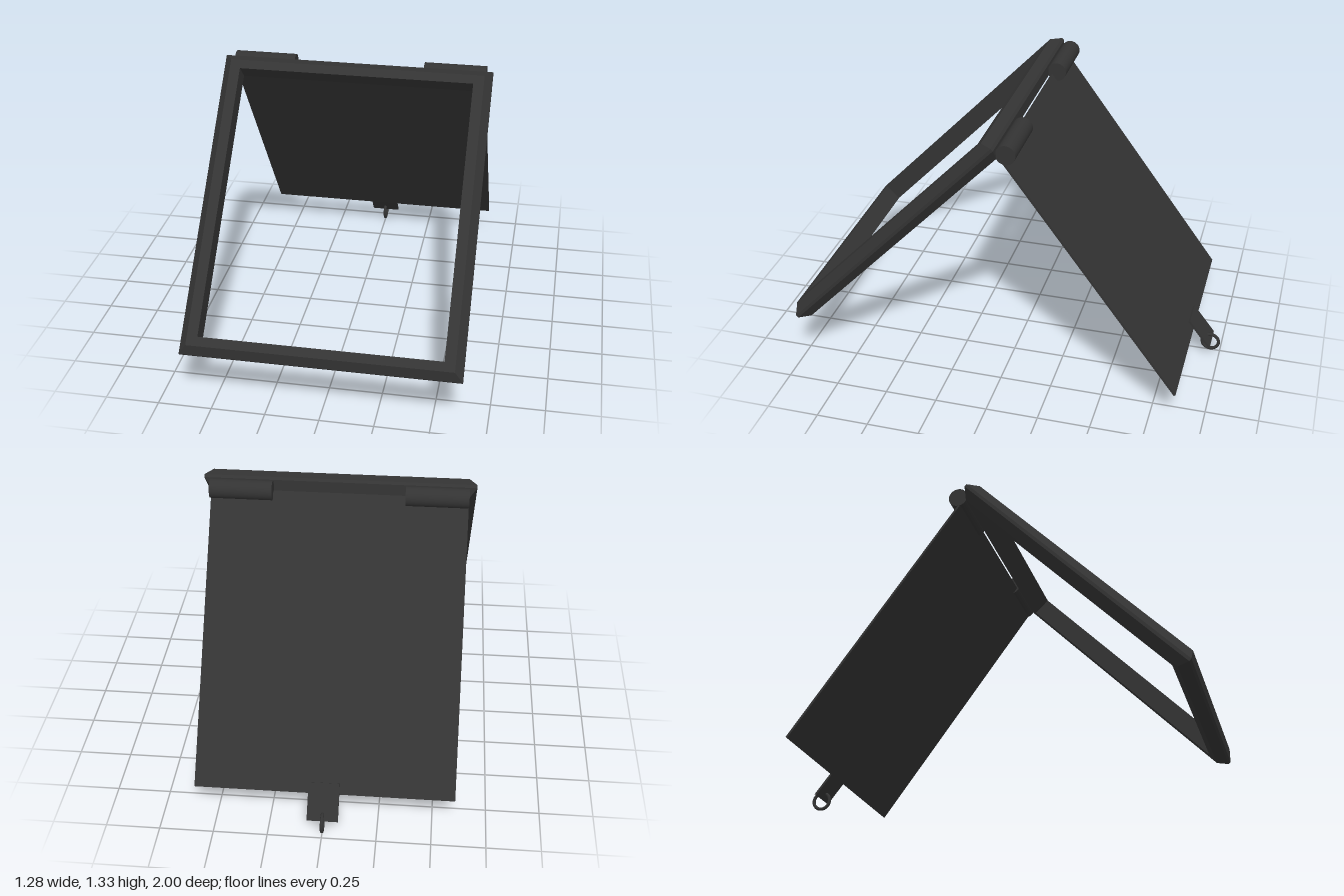
import * as THREE from 'three';

const material = new THREE.MeshStandardMaterial({ color: 0x333333 });

function addMesh(parent, name, geometry) {
  const mesh = new THREE.Mesh(geometry, material);
  mesh.name = name;
  parent.add(mesh);
  return mesh;
}

// Rectangular ring swept from a section of [half width, half height, depth]
function ringGeometry(section) {
  const corners = [[1, 1], [-1, 1], [-1, -1], [1, -1]];
  const point = (j, i) => {
    const [w, h, z] = section[j % section.length];
    const [sx, sy] = corners[i % 4];
    return [sx * w, sy * h, z];
  };
  const positions = [];
  for (let j = 0; j < section.length; j++) {
    for (let i = 0; i < 4; i++) {
      const a = point(j, i), b = point(j, i + 1);
      const c = point(j + 1, i + 1), d = point(j + 1, i);
      positions.push(...a, ...d, ...c, ...a, ...c, ...b);
    }
  }
  const geometry = new THREE.BufferGeometry();
  geometry.setAttribute('position', new THREE.Float32BufferAttribute(positions, 3));
  geometry.computeVertexNormals();
  return geometry;
}

// Thin plate running between two [y, z] points
function addPlate(parent, name, width, thickness, [y0, z0], [y1, z1]) {
  const length = Math.hypot(y1 - y0, z1 - z0);
  const plate = addMesh(parent, name, new THREE.BoxGeometry(width, length, thickness));
  plate.position.set(0, (y0 + y1) / 2, (z0 + z1) / 2);
  plate.rotation.x = Math.atan2(z1 - z0, y1 - y0);
  return plate;
}

export function createModel() {
  const model = new THREE.Group();
  model.name = 'hingedFrame';

  // Leaning frame with a bevelled outer edge and straight inner walls
  const tilt = new THREE.Group();
  tilt.name = 'frontFrame';
  tilt.rotation.x = -0.764;
  model.add(tilt);
  const w = 0.602, h = 0.688, bevel = 0.036;
  const frame = addMesh(tilt, 'frameRing', ringGeometry([
    [w, h, 0],
    [w + bevel, h + bevel, -0.04],
    [w + bevel, h + bevel, -0.055],
    [w, h, -0.095],
    [0.553, 0.645, -0.095],
    [0.553, 0.645, 0],
  ]));
  frame.position.set(0, 0.239, 0.951);

  // Hinge barrels at the top
  for (const side of [-1, 1]) {
    const hinge = addMesh(model, side > 0 ? 'leftHinge' : 'rightHinge',
      new THREE.CylinderGeometry(0.046, 0.046, 0.293, 32));
    hinge.rotation.z = Math.PI / 2;
    hinge.position.set(side * 0.4565, 1.283, -0.063);
  }

  // Back panel, pull tab and ring
  addPlate(model, 'backPanel', 1.205, 0.01, [1.268, -0.036], [0.148, -0.864]);
  addPlate(model, 'pullTab', 0.144, 0.01, [0.198, -0.846], [0.06, -0.953]);
  const ring = addMesh(model, 'pullRing', new THREE.TorusGeometry(0.041, 0.008, 12, 32));
  ring.rotation.y = Math.PI / 2;
  ring.position.set(0, 0.05, -0.95);

  return model;
}
